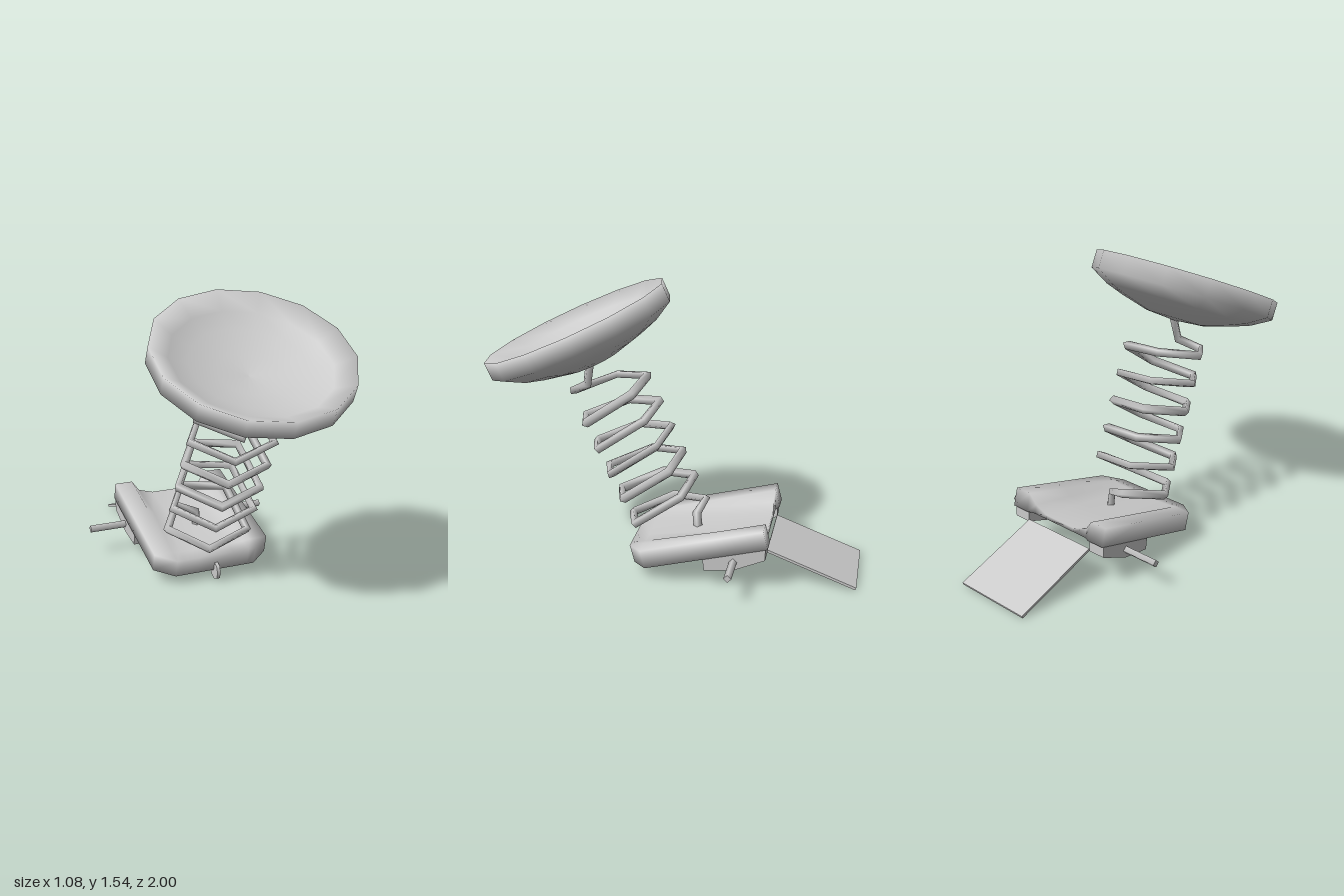
import * as THREE from 'three';
import { mergeVertices } from 'three/addons/utils/BufferGeometryUtils.js';

const MID = -0.014; // centre line of the base
const DISH_TILT = 0.429;
const BASE_TILT = 0.258;

export function createModel() {
  const model = new THREE.Group();
  const material = new THREE.MeshStandardMaterial({ color: 0xcccccc });

  function add(name, geometry, x = 0, y = 0, z = 0, tilt = 0) {
    const mesh = new THREE.Mesh(geometry, material);
    mesh.name = name;
    mesh.position.set(x, y, z);
    mesh.rotation.x = tilt;
    model.add(mesh);
  }

  // Tilted bowl: domed underside, short rim, hollow top
  const dishProfile = [[0, -0.25], [0.16, -0.237], [0.31, -0.195], [0.41, -0.16],
    [0.514, -0.1], [0.514, 0], [0.41, -0.06], [0.31, -0.095], [0.16, -0.137], [0, -0.15]]
    .map(([r, y]) => new THREE.Vector2(r, y));
  add('dish', new THREE.LatheGeometry(dishProfile, 14), 0.038, 1.331, 0.533, DISH_TILT);

  // Base plate: chamfered front corners, top sinking towards the back between two side ridges
  const columns = [-0.325, -0.225, -0.185, -0.1, 0.1, 0.185, 0.225, 0.325];
  const rows = [-0.376, -0.1, 0.296, 0.376];
  let plate = new THREE.BoxGeometry(7, 0.1, 3, 7, 1, 3);
  const p = plate.attributes.position;
  for (let i = 0; i < p.count; i++) {
    let x = columns[Math.round(p.getX(i) + 3.5)];
    let z = rows[Math.round(p.getZ(i) + 1.5)];
    let y = p.getY(i);
    const across = Math.abs(x) < 0.15 ? 1 : Math.abs(x) < 0.2 ? 0.65 : 0;
    if (z > 0.37) x = THREE.MathUtils.clamp(x, -0.225, 0.225);
    if (y > 0) y -= 0.08 * across * (0.376 - z) / 0.752;
    if (z < -0.37 && across > 0) z += 0.02;
    p.setXYZ(i, x, y, z);
  }
  plate.deleteAttribute('normal');
  plate.deleteAttribute('uv');
  plate = mergeVertices(plate);
  plate.computeVertexNormals();
  add('basePlate', plate, MID, 0.197, -0.166, BASE_TILT);

  // Axle brackets under the two ridges, narrowing downwards on the inner side
  const bracketShape = new THREE.Shape([[-0.2, 0.17], [-0.21, 0.09], [-0.37, 0.11],
    [-0.53, 0.18], [-0.53, 0.25]].map(([z, y]) => new THREE.Vector2(z, y)));
  for (const [name, side] of [['leftBracket', 1], ['rightBracket', -1]]) {
    const bracket = new THREE.ExtrudeGeometry(bracketShape, { depth: 0.097, bevelEnabled: false });
    bracket.rotateY(-Math.PI / 2).translate(0.0485, 0, 0);
    const b = bracket.attributes.position;
    for (let i = 0; i < b.count; i++) {
      if (b.getY(i) < 0.15 && b.getX(i) * side < 0) b.setX(i, -0.014 * side);
    }
    bracket.computeVertexNormals();
    add(name, bracket, MID + 0.2735 * side);
  }

  // Axle, front wheel and rear flap
  const axle = new THREE.CylinderGeometry(0.021, 0.021, 1.035, 4).rotateZ(Math.PI / 2);
  add('axle', axle, -0.022, 0.155, -0.363);
  const wheel = new THREE.CylinderGeometry(0.05, 0.05, 0.018, 8).rotateZ(Math.PI / 2);
  add('frontWheel', wheel, MID, 0.053, 0.19);
  add('rearFlap', new THREE.BoxGeometry(0.445, 0.014, 0.5), MID, 0.1, -0.762, -0.356);

  // Five-sided coil spring leaning along the dish normal
  const bottom = new THREE.Vector3(MID, 0.27, 0.052);
  const top = new THREE.Vector3(0.025, 0.975, 0.366);
  const forward = new THREE.Vector3(0, -Math.sin(DISH_TILT), Math.cos(DISH_TILT));
  // Corner angle and its share of the rise: back, left, front, right, back right
  const corners = [[244, -0.4], [180, 1], [107, 2.1], [36, 2.55], [-46, 4.15]];
  const path = [new THREE.Vector3(0.0, 0.17, -0.125), new THREE.Vector3(-0.005, 0.272, -0.115)];
  for (let k = 0; k <= 27; k++) {
    const [degrees, rise] = corners[k % 5];
    const a = THREE.MathUtils.degToRad(degrees);
    const t = (Math.floor(k / 5) * 5 + rise - 1) / 25;
    const point = new THREE.Vector3().lerpVectors(bottom, top, t);
    point.x += 0.22 * Math.cos(a);
    path.push(point.addScaledVector(forward, 0.22 * Math.sin(a)));
  }
  path.push(new THREE.Vector3(0.04, 0.985, 0.47), new THREE.Vector3(0.06, 1.13, 0.445));
  const coil = new THREE.CatmullRomCurve3(path);
  // One tube ring per corner keeps the strands straight
  coil.getPointAt = coil.getPoint;
  coil.getTangentAt = coil.getTangent;
  add('spring', new THREE.TubeGeometry(coil, path.length - 1, 0.025, 4));

  return model;
}
